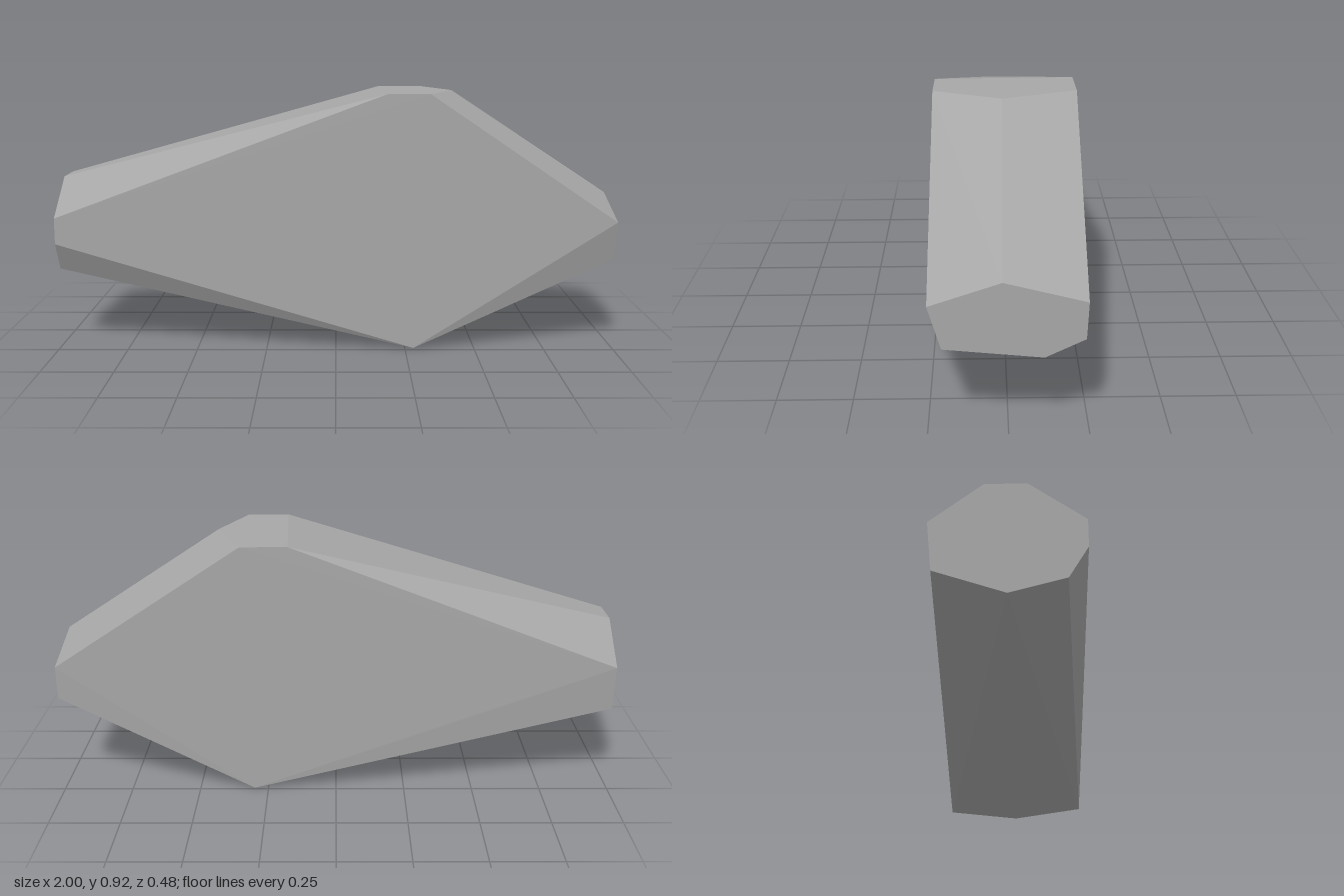
import * as THREE from 'three';
import { ConvexGeometry } from 'three/addons/geometries/ConvexGeometry.js';

export function createModel() {
  const group = new THREE.Group();
  group.name = 'rock';
  const stone = new THREE.MeshStandardMaterial({ color: 0xa6a6a6 });
  stone.name = 'stone grey';

  // Flat cut ends: [y, z] outlines at x = -1 and x = 1
  const longEnd = [[0.605, 0.06], [0.605, -0.07], [0.473, -0.235], [0.31, -0.22],
    [0.235, 0], [0.283, 0.175], [0.385, 0.235], [0.478, 0.235]];
  const shortEnd = [[0.465, 0.24], [0.54, 0.02], [0.475, -0.232],
    [0.355, -0.227], [0.295, -0.105], [0.325, 0.2]];
  // Crest and keel corners: [x, y, z]
  const crest = [[0.18, 0.918, 0.238], [0.33, 0.918, 0.24], [0.425, 0.918, 0.01],
    [0.33, 0.918, -0.24], [0.165, 0.918, -0.238]];
  const keel = [[0.28, 0.004, 0.242], [0.43, 0.014, 0], [0.3, 0, -0.242]];

  const corners = [
    ...longEnd.map(([y, z]) => [-1, y, z]),
    ...shortEnd.map(([y, z]) => [1, y, z]),
    ...crest, ...keel,
  ].map((p) => new THREE.Vector3(...p));

  // Faceted convex boulder
  const boulder = new THREE.Mesh(new ConvexGeometry(corners), stone);
  boulder.name = 'boulder';
  group.add(boulder);
  return group;
}
